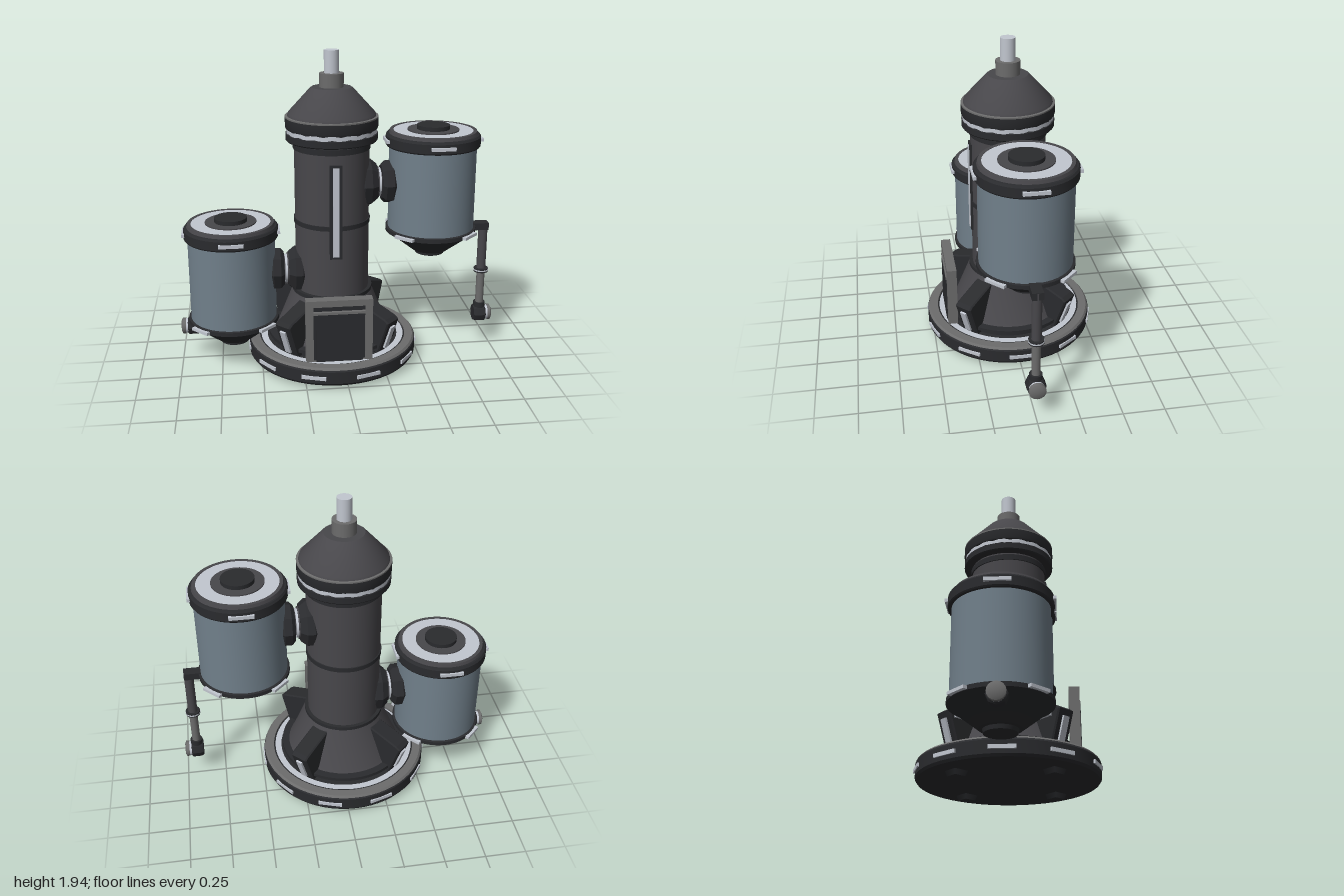
import * as THREE from 'three';
import { toCreasedNormals } from 'three/addons/utils/BufferGeometryUtils.js';

const mat = (color) => new THREE.MeshStandardMaterial({ color, side: THREE.DoubleSide });
const dark = mat(0x2a2b2e), iron = mat(0x48474b), grey = mat(0x6c6c6c), slate = mat(0x71808b), light = mat(0xc2c7d0);

function add(parent, name, geometry, material, x = 0, y = 0, z = 0) {
  const mesh = new THREE.Mesh(geometry, material);
  mesh.name = name;
  mesh.position.set(x, y, z);
  parent.add(mesh);
  return mesh;
}

function group(parent, name, x = 0, y = 0, z = 0) {
  const g = new THREE.Group();
  g.name = name;
  g.position.set(x, y, z);
  parent.add(g);
  return g;
}

// Turned part from [radius, height] points, with sharp corners kept
function turned(points, sides = 48) {
  const profile = points.map(([r, y]) => new THREE.Vector2(r, y));
  return toCreasedNormals(new THREE.LatheGeometry(profile, sides), 0.5);
}

const box = (w, h, d) => new THREE.BoxGeometry(w, h, d);
const rod = (r, h, n = 24) => new THREE.CylinderGeometry(r, r, h, n);

// Small light plates set around a rim
function rimLights(parent, name, count, start, radius, y, length, height) {
  for (let i = 0; i < count; i++) {
    const pivot = group(parent, name, 0, y, 0);
    pivot.rotation.y = start + (i / count) * Math.PI * 2;
    add(pivot, name, box(0.025, height, length), light, radius, 0, 0);
  }
}

function buildBase(tower) {
  const base = group(tower, 'base');
  add(base, 'baseDisc', turned([[0, 0.03], [0.52, 0.03], [0.53, 0.045], [0.53, 0.12], [0.515, 0.135],
    [0.47, 0.135], [0.465, 0.125], [0, 0.125]], 64), dark);
  add(base, 'baseRim', turned([[0.465, 0.13], [0.465, 0.142], [0.515, 0.142], [0.526, 0.13]], 64), grey);
  add(base, 'baseLightRing', new THREE.RingGeometry(0.415, 0.455, 64), light, 0, 0.138, 0).rotation.x = -Math.PI / 2;
  rimLights(base, 'baseLight', 10, 0, 0.523, 0.08, 0.15, 0.022);
  add(base, 'skirtFlange', turned([[0.37, 0.12], [0.37, 0.16], [0.405, 0.16], [0.405, 0.182], [0.34, 0.185]]), dark);
  add(base, 'skirt', turned([[0.37, 0.17], [0.35, 0.2], [0.25, 0.45]]), iron);

  // Diagonal buttresses, each with a light strip and a foot below
  const side = new THREE.Shape([[0.2, 0.13], [0.4, 0.13], [0.47, 0.34], [0.45, 0.355], [0.22, 0.43]]
    .map(([x, y]) => new THREE.Vector2(x, y)));
  const web = new THREE.ExtrudeGeometry(side, { depth: 0.1, bevelSize: 0.008, bevelThickness: 0.008, bevelSegments: 1 });
  web.translate(0, 0, -0.05);
  for (let i = 0; i < 4; i++) {
    const arm = group(base, 'buttress', 0, 0, 0);
    arm.rotation.y = Math.PI / 4 + i * Math.PI / 2;
    add(arm, 'buttressWeb', web, dark);
    add(arm, 'buttressLight', box(0.02, 0.16, 0.042), light, 0.445, 0.232, 0).rotation.z = -0.32;
    const foot = add(arm, 'foot', new THREE.CylinderGeometry(0.065, 0.05, 0.035, 4), dark, 0.375, 0.0175, 0);
    foot.rotation.y = Math.PI / 4;
  }
}

function buildDoor(tower) {
  const door = group(tower, 'door', 0, 0.13, 0);
  const outer = new THREE.Shape();
  outer.moveTo(-0.2, 0).lineTo(0.2, 0).lineTo(0.2, 0.4).lineTo(-0.2, 0.4).closePath();
  const hole = new THREE.Path();
  hole.moveTo(-0.155, 0.01).lineTo(-0.155, 0.36).lineTo(0.155, 0.36).lineTo(0.155, 0.01).closePath();
  outer.holes.push(hole);
  add(door, 'doorFrame', new THREE.ExtrudeGeometry(outer, { depth: 0.06, bevelEnabled: false }), grey, 0, 0, 0.355);
  add(door, 'doorPanel', box(0.31, 0.35, 0.03), dark, 0, 0.18, 0.385);
  add(door, 'doorLeaf', box(0.28, 0.31, 0.02), dark, 0, 0.16, 0.41);
  add(door, 'doorLintel', box(0.31, 0.015, 0.025), grey, 0, 0.32, 0.408);
}

function buildColumn(tower) {
  const column = group(tower, 'column');
  add(column, 'shaft', rod(0.228, 1.1, 48), iron, 0, 0.9, 0);
  for (const [r, y, h] of [[0.25, 0.458, 0.03], [0.235, 0.91, 0.028], [0.235, 1.375, 0.035]]) {
    add(column, 'shaftBand', rod(r, h, 48), dark, 0, y, 0);
  }
  add(column, 'frontStripBack', box(0.075, 0.58, 0.04), dark, 0, 1.01, 0.218);
  add(column, 'frontStrip', box(0.036, 0.55, 0.02), light, 0, 1.01, 0.235);

  // Head with a glowing seam, cone and spire
  const head = group(tower, 'head');
  add(head, 'headLowerCollar', turned([[0, 1.405], [0.272, 1.405], [0.278, 1.412], [0.278, 1.45], [0.25, 1.455]]), dark);
  const seam = new THREE.CylinderGeometry(0.272, 0.272, 0.026, 64, 1, true);
  const p = seam.attributes.position;
  for (let i = 0; i < p.count; i++) p.setY(i, p.getY(i) + 0.005 * Math.sin(Math.atan2(p.getZ(i), p.getX(i)) * 16));
  add(head, 'headLightSeam', seam, light, 0, 1.465, 0);
  add(head, 'headCore', rod(0.26, 0.08, 48), dark, 0, 1.465, 0);
  add(head, 'headUpperCollar', turned([[0.25, 1.478], [0.276, 1.48], [0.28, 1.49], [0.28, 1.545], [0.272, 1.553], [0.25, 1.553]]), dark);
  add(head, 'headTrim', turned([[0.28, 1.545], [0.28, 1.553], [0.265, 1.555]]), grey);
  add(head, 'headCone', turned([[0.268, 1.55], [0.262, 1.57], [0.13, 1.715], [0.12, 1.722], [0, 1.722]]), iron);
  add(head, 'spireSocket', rod(0.073, 0.09), grey, 0, 1.76, 0);
  add(head, 'spire', rod(0.045, 0.16), light, 0, 1.86, 0);
}

// Tank hung on one side of the column; y is the bottom of its glass-coloured body
function buildTank(tower, side, y) {
  const tank = group(tower, side > 0 ? 'leftTank' : 'rightTank', side * 0.623, y, 0);
  add(tank, 'tankBody', rod(0.268, 0.55, 48), slate, 0, 0.265, 0);
  add(tank, 'tankLid', turned([[0.26, 0.525], [0.284, 0.525], [0.289, 0.533], [0.289, 0.588], [0.28, 0.6],
    [0.265, 0.602], [0.262, 0.615], [0, 0.615]]), dark);
  add(tank, 'lidRim', turned([[0.243, 0.612], [0.243, 0.62], [0.264, 0.62], [0.27, 0.6]]), iron);
  add(tank, 'lidLightRing', new THREE.RingGeometry(0.15, 0.243, 48), light, 0, 0.618, 0).rotation.x = -Math.PI / 2;
  add(tank, 'lidDisc', rod(0.157, 0.02, 48), iron, 0, 0.615, 0);
  add(tank, 'lidKnob', rod(0.1, 0.04, 32), dark, 0, 0.63, 0);
  rimLights(tank, 'lidLight', 4, 0, 0.286, 0.562, 0.145, 0.02);
  add(tank, 'tankBottom', turned([[0.26, 0.01], [0.282, 0.005], [0.282, -0.02], [0.26, -0.03], [0.115, -0.145],
    [0.095, -0.148], [0.09, -0.17], [0, -0.17]]), dark);
  rimLights(tank, 'bottomLight', 4, Math.PI / 4, 0.287, -0.008, 0.13, 0.018);

  // Coupling: two faceted flanges around a narrow neck
  const joint = group(tower, 'coupling', 0, y + 0.3, 0);
  joint.rotation.z = -side * Math.PI / 2;
  add(joint, 'columnFlange', turned([[0, 0.17], [0.13, 0.17], [0.148, 0.19], [0.148, 0.235], [0.115, 0.275], [0, 0.275]], 8), dark);
  add(joint, 'neck', rod(0.075, 0.14), iron, 0, 0.3, 0);
  add(joint, 'neckLight', rod(0.09, 0.014, 32), light, 0, 0.29, 0);
  add(joint, 'neckRing', rod(0.1, 0.012, 32), iron, 0, 0.277, 0);
  add(joint, 'tankFlange', turned([[0, 0.303], [0.11, 0.303], [0.135, 0.325], [0.135, 0.37], [0.12, 0.385], [0, 0.385]], 8), dark);
}

// Outlet block with a rounded light end, facing outwards
function buildNozzle(parent, side, x, y) {
  const nozzle = group(parent, 'nozzle', side * x, y, 0);
  nozzle.rotation.z = -side * Math.PI / 2;
  add(nozzle, 'nozzleBlock', turned([[0, -0.055], [0.05, -0.055], [0.058, -0.04], [0.058, 0.015], [0.045, 0.025], [0, 0.025]], 8), dark);
  add(nozzle, 'nozzleRing', rod(0.046, 0.02), light, 0, 0.03, 0);
  add(nozzle, 'nozzleEnd', turned([[0.05, 0.035], [0.05, 0.055], [0.035, 0.062], [0, 0.064]], 16), grey);
}

function buildPipes(tower) {
  const drop = group(tower, 'dropPipe');
  add(drop, 'pipeArm', box(0.16, 0.045, 0.065), dark, 0.915, 0.82, 0);
  add(drop, 'pipeUpper', rod(0.029, 0.33, 16), iron, 0.967, 0.675, 0);
  add(drop, 'pipeCollar', rod(0.045, 0.025), dark, 0.967, 0.52, 0);
  add(drop, 'pipeCollarTrim', rod(0.047, 0.008), light, 0.967, 0.52, 0);
  add(drop, 'pipeLower', rod(0.026, 0.3, 16), grey, 0.967, 0.375, 0);
  add(drop, 'pipeCuff', rod(0.038, 0.04, 16), dark, 0.967, 0.275, 0);
  buildNozzle(drop, 1, 0.981, 0.218);

  const outlet = group(tower, 'sidePipe');
  add(outlet, 'sideTube', rod(0.03, 0.14, 16), grey, -0.83, 0.22, 0).rotation.z = Math.PI / 2;
  buildNozzle(outlet, -1, 0.892, 0.225);
}

export function createModel() {
  const model = new THREE.Group();
  model.name = 'tankTower';
  const tower = group(model, 'tower', -0.045, 0, 0);
  buildBase(tower);
  buildDoor(tower);
  buildColumn(tower);
  buildTank(tower, 1, 0.83);
  buildTank(tower, -1, 0.285);
  buildPipes(tower);
  return model;
}
